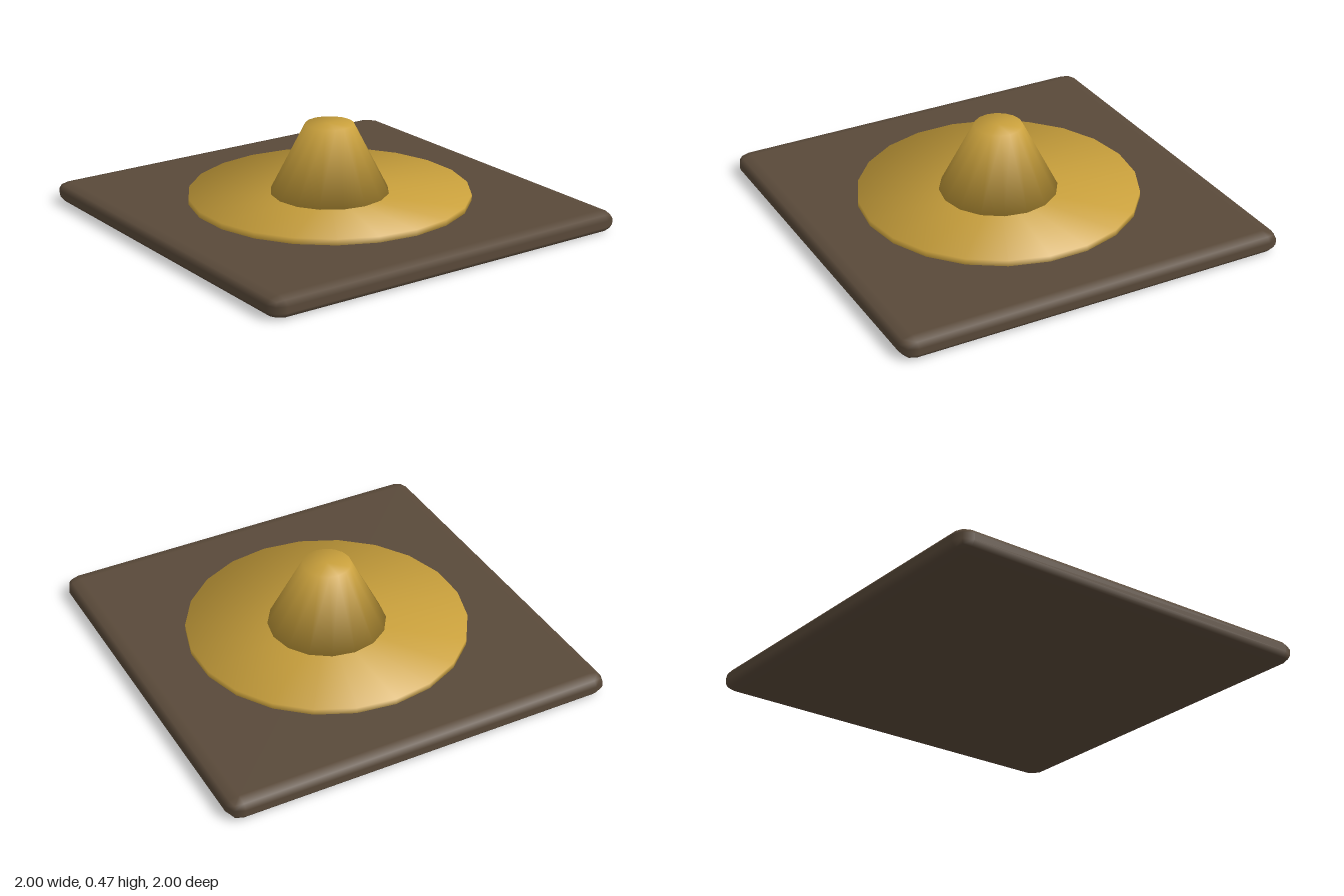
import * as THREE from 'three';
import { RoundedBoxGeometry } from 'three/addons/geometries/RoundedBoxGeometry.js';

// Cylinder or cone whose shading flows smoothly over the rims into the caps
function softCylinder(rTop, rBottom, height, sides) {
  const geo = new THREE.CylinderGeometry(rTop, rBottom, height, sides);
  const pos = geo.attributes.position;
  const slope = new THREE.Vector2(height, rBottom - rTop).normalize();
  const n = new THREE.Vector3();
  for (let i = 0; i < pos.count; i++) {
    const up = Math.sign(pos.getY(i));
    n.set(pos.getX(i), 0, pos.getZ(i));
    if (n.length() < 1e-4) n.set(0, up, 0);
    else n.setLength(slope.x).setY(slope.y + up).normalize();
    geo.attributes.normal.setXYZ(i, n.x, n.y, n.z);
  }
  return geo;
}

export function createModel() {
  const group = new THREE.Group();
  const brown = new THREE.MeshStandardMaterial({ color: 0x5a4a3a });
  const gold = new THREE.MeshStandardMaterial({ color: 0xc9a03c });

  const add = (name, geometry, material, y) => {
    const mesh = new THREE.Mesh(geometry, material);
    mesh.name = name;
    mesh.position.y = y;
    group.add(mesh);
  };

  // Square slab with a flattened bevel
  const slab = new RoundedBoxGeometry(2, 0.2, 2, 1, 0.07);
  slab.scale(1, 0.5, 1);
  add('baseSlab', slab, brown, 0.05);

  // Thin round plate
  add('disc', softCylinder(0.7, 0.7, 0.04, 22), gold, 0.11);

  // Truncated cone in the middle
  add('centralBoss', softCylinder(0.12, 0.295, 0.345, 16), gold, 0.3025);

  return group;
}
